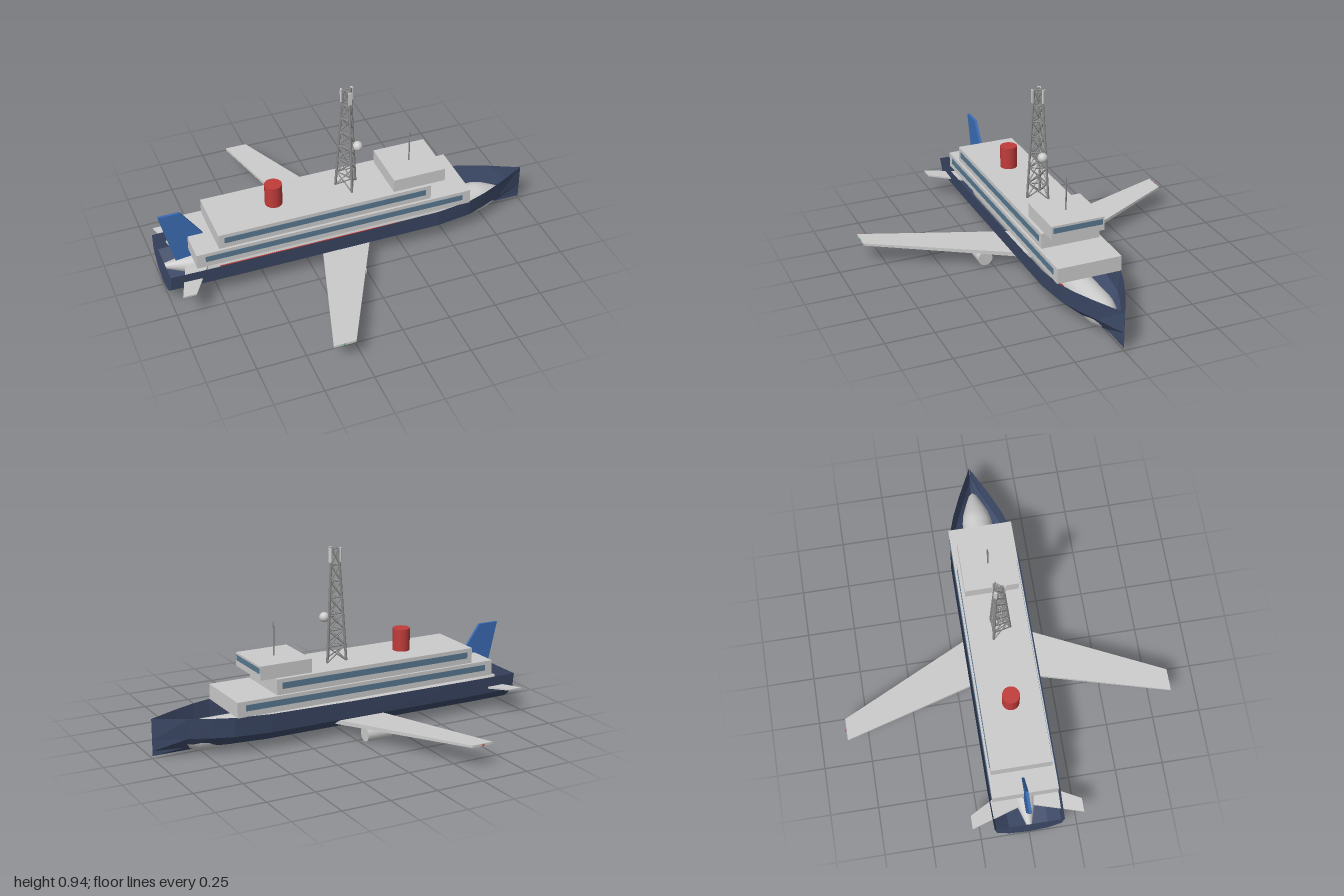
import * as THREE from 'three';

const mat = (color, extra = {}) => new THREE.MeshStandardMaterial({ color, ...extra });
const GREY = mat(0xcccccc);
const FLAT = mat(0xcccccc, { flatShading: true });
const NAVY = mat(0x3d4a68, { flatShading: true, side: THREE.DoubleSide });
const BLUE = mat(0x3a6cb4);
const RED = mat(0xc03c3a);
const GREEN = mat(0x2fa060);
const GLASS = mat(0x587890);
const STEEL = mat(0x8c8c8c);

export function createModel() {
  const model = new THREE.Group();

  const add = (name, geo, material, x = 0, y = 0, z = 0, parent = model) => {
    const m = new THREE.Mesh(geo, material);
    m.name = name;
    m.position.set(x, y, z);
    parent.add(m);
    return m;
  };
  // Box given by its limits
  const block = (name, material, x0, x1, y0, y1, z0, z1) =>
    add(name, new THREE.BoxGeometry(x1 - x0, y1 - y0, z1 - z0), material,
      (x0 + x1) / 2, (y0 + y1) / 2, (z0 + z1) / 2);
  // Round bar between two points
  const bar = (name, a, b, r, material, parent) => {
    const d = b.clone().sub(a);
    const m = add(name, new THREE.CylinderGeometry(r, r, d.length(), 6), material, 0, 0, 0, parent);
    m.position.copy(a).addScaledVector(d, 0.5);
    m.quaternion.setFromUnitVectors(new THREE.Vector3(0, 1, 0), d.normalize());
  };

  // Open hull: cross-sections lofted from stern to bow
  const section = [[0.185, 0.188], [0.172, 0.094], [0.105, 0.038], [0, 0.014]];
  // x, half-width scale, sheer rise
  const stations = [[-1, 0.97, -0.004], [-0.8, 1, -0.002], [0, 1, 0], [0.44, 1, 0.006],
    [0.63, 0.88, 0.01], [0.73, 0.7, 0.012], [0.84, 0.44, 0.014], [1, 0.005, 0.016]];
  const pos = [], idx = [], n = 7;
  for (const [x, s, rise] of stations) {
    for (let j = 0; j < n; j++) {
      const k = j < 4 ? j : 6 - j;
      const w = section[k][0] * (k === 0 ? s : Math.pow(s, k === 1 ? 1.2 : 1.7));
      pos.push(x, section[k][1] + (k === 0 ? rise : 0), j < 4 ? w : -w);
    }
  }
  for (let i = 0; i < stations.length - 1; i++) {
    for (let j = 0; j < n - 1; j++) {
      const a = i * n + j, b = a + 1, c = a + n, d = c + 1;
      idx.push(a, b, c, b, d, c);
    }
  }
  for (let j = 1; j < n - 1; j++) idx.push(0, j + 1, j); // transom
  const hull = new THREE.BufferGeometry();
  hull.setAttribute('position', new THREE.Float32BufferAttribute(pos, 3));
  hull.setIndex(idx);
  hull.computeVertexNormals();
  add('hull', hull, NAVY);

  // Aircraft fuselage lying in the hull, with an upswept tail
  const profile = [[0, -1], [0.012, -0.995], [0.045, -0.88], [0.08, -0.74], [0.08, 0.3], [0.08, 0.73],
    [0.07, 0.78], [0.045, 0.84], [0.022, 0.89], [0, 0.91]].map(([r, x]) => new THREE.Vector2(r, x));
  const body = new THREE.LatheGeometry(profile, 24).rotateZ(-Math.PI / 2);
  const bp = body.attributes.position;
  for (let i = 0; i < bp.count; i++) {
    const t = Math.max(0, (-0.74 - bp.getX(i)) / 0.26);
    bp.setY(i, bp.getY(i) + 0.08 + 0.04 * t);
  }
  body.computeVertexNormals();
  add('fuselage', body, GREY);

  // Tapered swept panel: leading and trailing x, y and z at root and tip
  const panel = (name, root, tip, side) => {
    const g = new THREE.BoxGeometry(1, 1, 1), p = g.attributes.position;
    for (let i = 0; i < p.count; i++) {
      const e = p.getZ(i) * side > 0 ? tip : root;
      p.setXYZ(i, p.getX(i) > 0 ? e.lead : e.trail, e.y + p.getY(i) * e.t, side * e.z);
    }
    g.computeVertexNormals();
    add(name, g, GREY);
  };
  for (const side of [1, -1]) {
    const label = side > 0 ? 'starboard' : 'port';
    panel(label + 'Wing', { lead: 0.12, trail: -0.16, y: 0.073, z: 0.04, t: 0.024 },
      { lead: -0.285, trail: -0.4, y: 0.114, z: 0.855, t: 0.012 }, side);
    panel(label + 'Stabilizer', { lead: -0.745, trail: -0.88, y: 0.112, z: 0.01, t: 0.014 },
      { lead: -0.9, trail: -0.97, y: 0.136, z: 0.287, t: 0.008 }, side);
    add(label + 'Engine', new THREE.CylinderGeometry(0.039, 0.039, 0.14, 20).rotateZ(Math.PI / 2),
      GREY, -0.09, 0.043, side * 0.288);
    add(label + 'WingLight', new THREE.SphereGeometry(0.006, 10, 8), side > 0 ? GREEN : RED,
      -0.345, 0.114, side * 0.857);
    block(label + 'FuselageStripe', RED, -0.72, 0.6, 0.085, 0.1, side * 0.08 - 0.002, side * 0.08 + 0.002);
  }

  // Tail fin
  const finShape = new THREE.Shape([[-0.925, 0.12], [-0.69, 0.12], [-0.775, 0.27], [-0.887, 0.43],
    [-1, 0.43]].map(([x, y]) => new THREE.Vector2(x, y)));
  add('tailFin', new THREE.ExtrudeGeometry(finShape, { depth: 0.014, bevelEnabled: false }), BLUE, 0, 0, -0.007);

  // Superstructure decks with window bands
  block('lowerDeck', GREY, -0.86, 0.62, 0.195, 0.275, -0.17, 0.17);
  block('upperDeck', GREY, -0.74, 0.4, 0.275, 0.356, -0.157, 0.157);
  block('bridge', GREY, 0.2, 0.483, 0.358, 0.43, -0.141, 0.141);
  for (const s of [1, -1]) {
    block('lowerWindows', GLASS, -0.815, 0.575, 0.225, 0.256, s * 0.17 - 0.003, s * 0.17 + 0.003);
    block('upperWindows', GLASS, -0.71, 0.37, 0.304, 0.336, s * 0.157 - 0.003, s * 0.157 + 0.003);
  }
  block('bridgeWindows', GLASS, 0.48, 0.486, 0.391, 0.419, -0.131, 0.131);

  // Funnel and whip antenna
  add('funnel', new THREE.CylinderGeometry(0.045, 0.045, 0.12, 24), RED, -0.4, 0.414, 0);
  add('whipAntenna', new THREE.CylinderGeometry(0.004, 0.004, 0.176, 8), STEEL, 0.34, 0.517, 0);

  // Three-legged lattice mast
  const mast = new THREE.Group();
  mast.name = 'latticeMast';
  model.add(mast);
  const bays = 7, y0 = 0.355, y1 = 0.94;
  const corner = (leg, t) => {
    const a = Math.PI / 2 + leg * 2 * Math.PI / 3, r = 0.063 - 0.04 * t;
    return new THREE.Vector3(r * Math.cos(a), y0 + (y1 - y0) * t, r * Math.sin(a));
  };
  for (let leg = 0; leg < 3; leg++) {
    bar('mastLeg', corner(leg, 0), corner(leg, 1), 0.0065, STEEL, mast);
    for (let b = 0; b < bays; b++) {
      const t = b / bays, u = (b + 1) / bays;
      bar('mastBrace', corner(leg, t), corner(leg + 1, u), 0.0035, STEEL, mast);
      bar('mastBrace', corner(leg + 1, t), corner(leg, u), 0.0035, STEEL, mast);
      bar('mastRing', corner(leg, u), corner(leg + 1, u), 0.0035, STEEL, mast);
    }
    // Panel antenna at the head of each leg
    const p = corner(leg, 0.94).multiply(new THREE.Vector3(1.3, 1, 1.3));
    const head = add('panelAntenna', new THREE.BoxGeometry(0.018, 0.07, 0.008), GREY, p.x, p.y + 0.003, p.z, mast);
    head.rotation.y = Math.atan2(p.x, p.z);
  }
  add('mastDrum', new THREE.SphereGeometry(0.026, 20, 14), GREY, 0.055, 0.59, 0, mast);
  bar('drumBracket', new THREE.Vector3(0, 0.59, 0), new THREE.Vector3(0.055, 0.59, 0), 0.005, STEEL, mast);

  return model;
}
